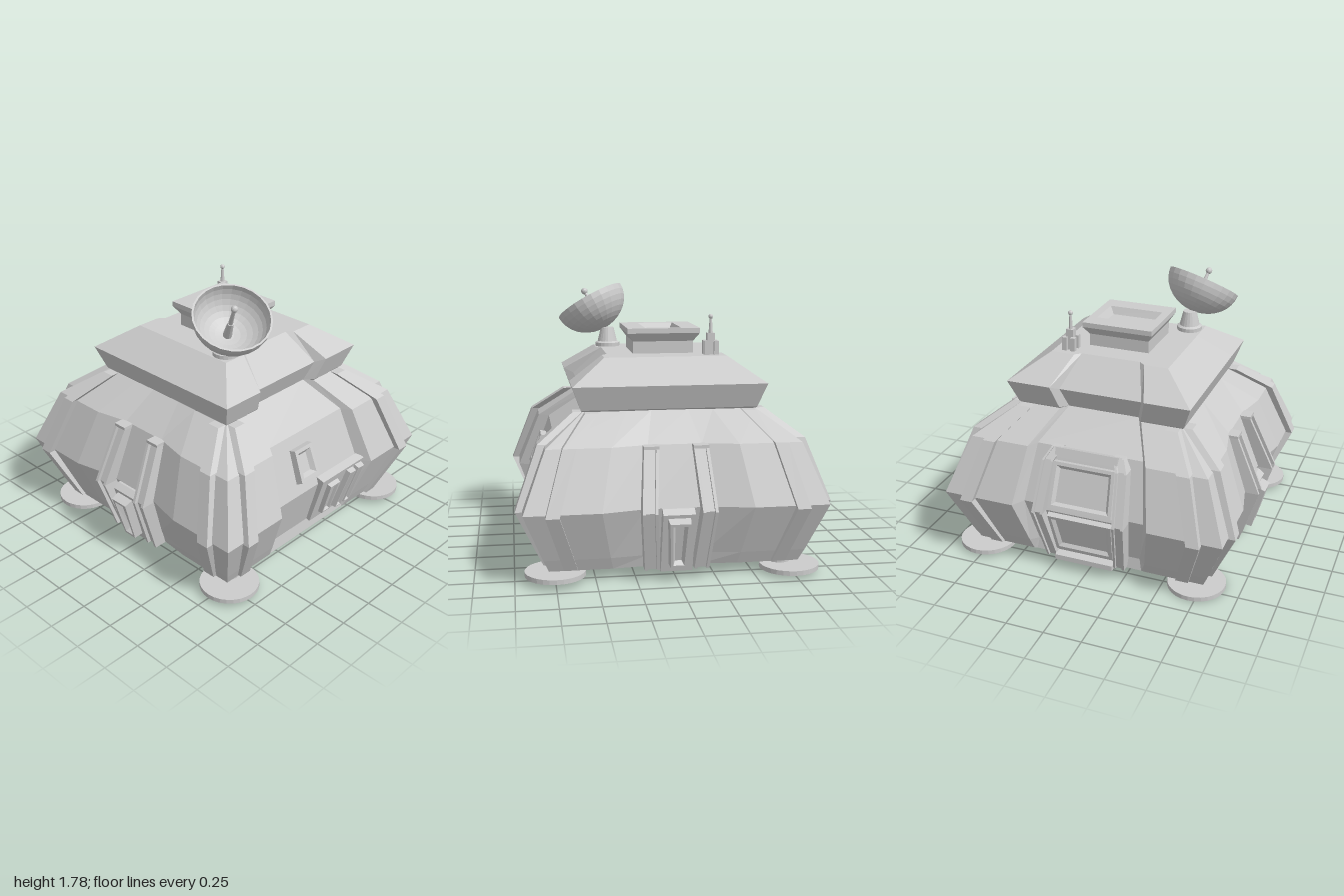
import * as THREE from 'three';

const mat = new THREE.MeshStandardMaterial({ color: 0xcccccc, flatShading: true });
const matDouble = new THREE.MeshStandardMaterial({ color: 0xcccccc, flatShading: true, side: THREE.DoubleSide });

function add(parent, geo, name, pos = [0, 0, 0], material = mat) {
  const mesh = new THREE.Mesh(geo, material);
  mesh.name = name;
  mesh.position.set(...pos);
  parent.add(mesh);
  return mesh;
}

// Skin a stack of closed rings of [x, y, z] points and cap both ends
function loft(rings) {
  const n = rings[0].length;
  let area = 0;
  rings[0].forEach((a, i) => {
    const b = rings[0][(i + 1) % n];
    area += a[0] * b[2] - b[0] * a[2];
  });
  if (area < 0) rings = rings.map(r => [...r].reverse());
  const out = [];
  const tri = (a, b, c) => out.push(...a, ...b, ...c);
  for (let k = 0; k < rings.length - 1; k++) {
    for (let i = 0; i < n; i++) {
      const j = (i + 1) % n, a = rings[k], b = rings[k + 1];
      tri(a[i], b[i], a[j]);
      tri(a[j], b[i], b[j]);
    }
  }
  const cap = (ring, up) => {
    const flat = ring.map(p => new THREE.Vector2(p[0], p[2]));
    for (const [a, b, c] of THREE.ShapeUtils.triangulateShape(flat, [])) {
      const A = ring[a], B = ring[b], C = ring[c];
      const s = (B[0] - A[0]) * (C[2] - A[2]) - (C[0] - A[0]) * (B[2] - A[2]);
      if ((s < 0) === up) tri(A, B, C); else tri(A, C, B);
    }
  };
  cap(rings[0], false);
  cap(rings[rings.length - 1], true);
  const geo = new THREE.BufferGeometry();
  geo.setAttribute('position', new THREE.Float32BufferAttribute(out, 3));
  geo.computeVertexNormals();
  return geo;
}

// Shell ring: square with dished front and back, and a channel in each side
function shellRing([y, w, dish, inner, zOut, zIn, drop = 0]) {
  const k = w / 0.945;
  const quarter = [[inner, y - drop, zIn], [w, y, zOut], [w, y, w], [0.47 * k, y, w], [0.2 * k, y, w - dish]];
  const half = [...quarter, ...[...quarter].reverse().map(p => [-p[0], p[1], p[2]])];
  return [...half, ...half.map(p => [-p[0], p[1], -p[2]])];
}

// Rib following a path of [u, y, outer, back], optionally with a groove
function rib(path, width, groove = 0) {
  const h = width / 2, g = h * 0.6;
  return loft(path.map(([u, y, o, b]) => {
    const slot = groove ? [[u + g, y, o], [u + g, y, o - groove], [u - g, y, o - groove], [u - g, y, o]] : [];
    return [[u + h, y, b], [u + h, y, o], ...slot, [u - h, y, o], [u - h, y, b]];
  }));
}

// Picture-frame block with a sloping reveal; taper narrows the foot
function windowFrame(w, h, d, border, taper = 1) {
  const ring = (x, y, z) => [[-x * taper, -y, z], [x * taper, -y, z], [x, y, z], [-x, y, z]];
  const a = w / 2, b = h / 2;
  const rings = [ring(a, b, -d), ring(a - 0.008, b - 0.008, d), ring(a - border * 0.6, b - border * 0.6, d), ring(a - border, b - border, d * 0.2)];
  // lofted along y, then turned to face +z
  const geo = loft(rings.map(r => r.map(([x, y, z]) => [x, z, -y])));
  return geo.rotateX(Math.PI / 2);
}

function face(parent, name, angle) {
  const g = new THREE.Group();
  g.name = name;
  g.rotation.y = angle;
  parent.add(g);
  return g;
}

function addDish(root) {
  const g = new THREE.Group();
  g.name = 'dish';
  const base = [[0, 1.33], [0.085, 1.33], [0.085, 1.365], [0.068, 1.375], [0.045, 1.47], [0, 1.47]];
  add(root, new THREE.LatheGeometry(base.map(p => new THREE.Vector2(...p)), 20), 'dishMount', [0.31, 0, 0.3]);
  const bowl = [];
  for (let i = 0; i <= 9; i++) {
    const a = (i / 9) * Math.PI / 2;
    bowl.push(new THREE.Vector2(0.25 * Math.sin(a), -0.215 * Math.cos(a)));
  }
  for (let i = 9; i >= 0; i--) {
    const a = (i / 9) * Math.PI / 2;
    bowl.push(new THREE.Vector2(0.238 * Math.sin(a), -0.2 * Math.cos(a)));
  }
  add(g, new THREE.LatheGeometry(bowl, 24), 'dishBowl', [0, 0, 0], matDouble);
  add(g, new THREE.CylinderGeometry(0.02, 0.03, 0.13, 12), 'feedBase', [0, -0.135, 0]);
  add(g, new THREE.CylinderGeometry(0.011, 0.016, 0.16, 10), 'feedRod', [0, 0, 0]);
  add(g, new THREE.SphereGeometry(0.023, 12, 8), 'feedTip', [0, 0.08, 0]);
  g.position.set(0.425, 1.65, 0.36);
  g.quaternion.setFromUnitVectors(new THREE.Vector3(0, 1, 0), new THREE.Vector3(0.46, 0.86, 0.26).normalize());
  root.add(g);
}

export function createModel() {
  const root = new THREE.Group();
  root.name = 'baseBuilding';
  const hull = new THREE.Group();
  hull.name = 'hull';
  hull.position.z = -0.01;
  root.add(hull);

  // Main shell: y, half width, dish, channel x, channel z outer / inner, channel drop
  add(hull, loft([
    [0.07, 0.79, 0.02, 0.785, 0.39, 0.37],
    [0.15, 0.824, 0.03, 0.775, 0.405, 0.355],
    [0.47, 0.945, 0.06, 0.86, 0.46, 0.41],
    [0.84, 0.8, 0.05, 0.73, 0.4, 0.36],
    [1.02, 0.555, 0.01, 0.49, 0.28, 0.24],
    [1.03, 0.565, 0, 0.5, 0.28, 0.24, 0.01],
    [1.185, 0.62, 0, 0.555, 0.32, 0.28, 0.03],
    [1.34, 0.4, 0, 0.365, 0.24, 0.2]
  ].map(shellRing)), 'shell');

  // Corner ribs, a pair on each of the four faces
  for (let i = 0; i < 4; i++) {
    const f = face(hull, 'cornerRibs', i * Math.PI / 2);
    for (const s of [-1, 1]) {
      add(f, rib([
        [0.655 * s, 0.08, 0.82, 0.72], [0.77 * s, 0.46, 0.99, 0.88],
        [0.655 * s, 0.85, 0.845, 0.72], [0.5 * s, 1.02, 0.615, 0.5]
      ], 0.085), 'cornerRib');
    }
  }

  // Front and back entrances with grooved pillars
  for (const [name, angle] of [['frontEntrance', 0], ['backEntrance', Math.PI]]) {
    const f = face(hull, name, angle);
    for (const s of [-1, 1]) {
      add(f, rib([
        [0.155 * s, 0.07, 0.86, 0.7], [0.185 * s, 0.46, 0.985, 0.8], [0.155 * s, 0.825, 0.82, 0.65]
      ], 0.095, 0.025), 'entrancePillar');
      add(f, new THREE.BoxGeometry(0.095, 0.02, 0.14), 'pillarCap', [0.155 * s, 0.833, 0.75]);
    }
    add(f, rib([[0, 0.05, 0.83, 0.7], [0, 0.44, 0.94, 0.8], [0, 0.47, 0.9, 0.8]], 0.2), 'entranceBlock');
    const door = add(f, windowFrame(0.145, 0.33, 0.04, 0.045, 0.75), 'entranceDoor', [0, 0.255, 0.91]);
    door.rotation.x = 0.27;
  }

  // Left side: small window and a low three-window panel
  const left = face(hull, 'leftSide', Math.PI / 2);
  const small = add(left, windowFrame(0.18, 0.235, 0.035, 0.055, 1.08), 'smallWindow', [-0.1, 0.655, 0.805]);
  small.rotation.x = -0.36;
  const panel = new THREE.Group();
  panel.name = 'windowPanel';
  panel.position.set(0.21, 0.33, 0.825);
  panel.rotation.x = 0.28;
  left.add(panel);
  add(panel, new THREE.BoxGeometry(0.43, 0.37, 0.06), 'panelPlate');
  add(panel, windowFrame(0.11, 0.27, 0.02, 0.03, 0.85), 'panelWindow', [-0.1, 0, 0.04]);
  for (const x of [0.055, 0.145]) {
    const slat = add(panel, windowFrame(0.08, 0.33, 0.025, 0.026), 'panelWindow', [x, 0, 0.04]);
    slat.rotation.z = -0.1;
  }

  // Right side: large door with pillars, header and threshold
  const right = face(hull, 'rightSide', -Math.PI / 2);
  for (const s of [-1, 1]) {
    add(right, rib([
      [0.235 * s, 0.08, 0.84, 0.7], [0.275 * s, 0.46, 0.965, 0.8],
      [0.25 * s, 0.78, 0.83, 0.68], [0.21 * s, 0.85, 0.77, 0.65]
    ], 0.075, 0.018), 'doorPillar');
  }
  add(right, rib([[0, 0.1, 0.8, 0.7], [0, 0.46, 0.9, 0.8], [0, 0.8, 0.78, 0.65]], 0.48), 'doorPlate');
  const upper = add(right, windowFrame(0.43, 0.32, 0.025, 0.05, 1.05), 'doorUpperPanel', [0, 0.63, 0.85]);
  upper.rotation.x = -0.35;
  const lower = add(right, windowFrame(0.45, 0.31, 0.025, 0.05, 0.9), 'doorLowerPanel', [0, 0.3, 0.865]);
  lower.rotation.x = 0.27;
  const header = add(right, new THREE.BoxGeometry(0.42, 0.06, 0.08), 'doorHeader', [0, 0.82, 0.755]);
  header.rotation.x = -0.36;
  add(right, new THREE.BoxGeometry(0.4, 0.035, 0.14), 'doorThreshold', [0, 0.095, 0.8]);

  // Roof vent with a sunken opening
  const vent = [[1.33, 0.2, 0.205], [1.42, 0.2, 0.205], [1.475, 0.24, 0.24], [1.508, 0.24, 0.24],
    [1.508, 0.12, 0.185], [1.46, 0.095, 0.155]];
  add(root, loft(vent.map(([y, a, b]) => [[a, y, b], [-a, y, b], [-a, y, -b], [a, y, -b]])), 'roofVent', [-0.01, 0, -0.015]);

  // Mast
  const mast = new THREE.Group();
  mast.name = 'mast';
  mast.position.set(-0.31, 1.34, -0.31);
  root.add(mast);
  add(mast, new THREE.BoxGeometry(0.05, 0.14, 0.05), 'mastCore', [0, 0.07, 0]);
  for (const x of [-1, 1]) for (const z of [-1, 1]) {
    add(mast, new THREE.BoxGeometry(0.032, 0.09, 0.032), 'mastBlock', [x * 0.032, 0.045, z * 0.028]);
  }
  add(mast, new THREE.CylinderGeometry(0.007, 0.015, 0.12, 8), 'mastRod', [0, 0.19, 0]);
  add(mast, new THREE.SphereGeometry(0.016, 10, 8), 'mastTip', [0, 0.247, 0]);

  addDish(root);

  // Landing pads, settled at slightly different heights
  for (const [x, z, y] of [[-0.7, 0.71, 0], [-0.74, -0.77, 0.02], [0.77, 0.74, 0.025], [0.75, -0.77, 0.04]]) {
    add(root, new THREE.CylinderGeometry(0.19, 0.19, 0.03, 28), 'footPad', [x, y + 0.015, z]);
    add(root, new THREE.CylinderGeometry(0.07, 0.07, 0.09, 16), 'footStem', [x * 0.93, y + 0.06, z * 0.93]);
  }
  return root;
}
